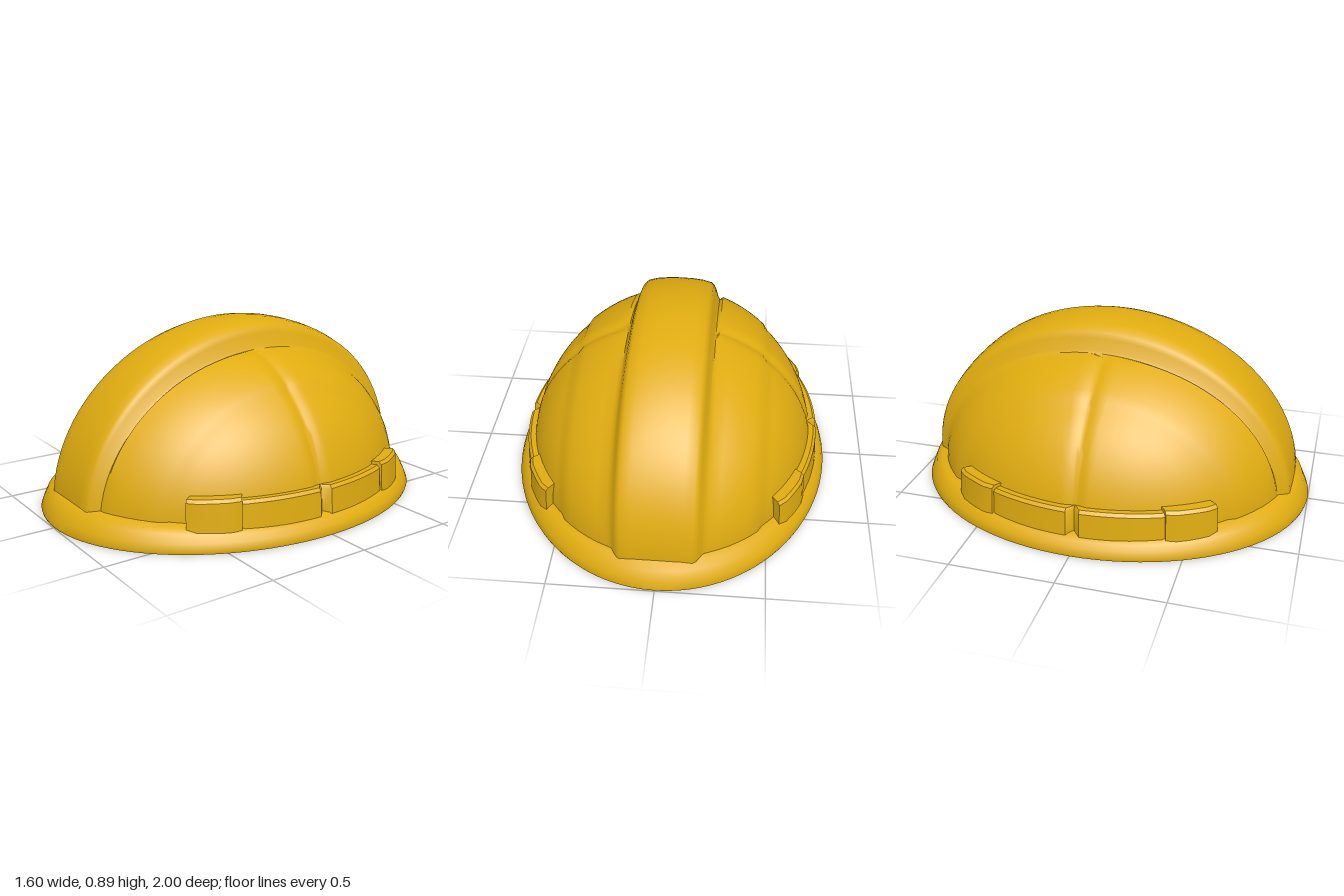
import * as THREE from 'three';
import { toCreasedNormals } from 'three/addons/utils/BufferGeometryUtils.js';

// Skins rows of points (all the same length) into a surface.
function loft(rows, closeColumns, crease) {
  const n = rows[0].length;
  const index = [];
  for (let i = 0; i < rows.length - 1; i++) {
    for (let j = 0; j < (closeColumns ? n : n - 1); j++) {
      const k = (j + 1) % n;
      const a = i * n + j, b = (i + 1) * n + j, c = (i + 1) * n + k, d = i * n + k;
      index.push(a, b, c, a, c, d);
    }
  }
  const geometry = new THREE.BufferGeometry();
  geometry.setAttribute('position', new THREE.Float32BufferAttribute(rows.flat(2), 3));
  geometry.setIndex(index);
  return toCreasedNormals(geometry, crease);
}

const BASE = 0.08;

// Shell and ridge: arcs from front to back, stacked along x.
function shellGeometry() {
  // x, height above the base, half length
  const half = [
    [0, 0.81, 0.925], [0.06, 0.808, 0.925], [0.12, 0.8, 0.923], [0.165, 0.785, 0.92],
    [0.18, 0.77, 0.912], [0.19, 0.745, 0.9], [0.205, 0.69, 0.875], [0.213, 0.677, 0.866],
  ];
  const dome = (x, f) => {
    const s = Math.sqrt(Math.max(0, 1 - (x / 0.72) ** 2));
    half.push([x, 0.7 * s * f, 0.89 * s * f]);
  };
  for (const x of [0.23, 0.28, 0.33, 0.38, 0.42, 0.455]) dome(x, 1.02);
  const u0 = Math.asin(0.475 / 0.72);
  for (let i = 0; i <= 16; i++) dome(0.72 * Math.sin(u0 + (Math.PI / 2 - u0) * i / 16), 0.995);
  const stations = [...half.slice(1).reverse().map(([x, h, l]) => [-x, h, l]), ...half];

  // Extra samples at the middle for the cross groove
  const quarter = [];
  for (let i = 0; i <= 24; i++) quarter.push(1.45 * i / 24);
  quarter.push(1.49, 1.525, 1.55);
  const angles = [...quarter, Math.PI / 2, ...quarter.map((t) => Math.PI - t).reverse()];

  const rows = stations.map(([x, h, l]) => angles.map((t) => {
    const ridge = Math.abs(x) < 0.214;
    const z = l * Math.cos(t);
    const k = ridge ? 1 : 1 - 0.02 * Math.max(0, 1 - Math.abs(z) / 0.05);
    return [x * (Math.abs(x) < 0.24 ? 1 : k), BASE + h * Math.sin(t) * k, z - (ridge ? 0.035 * Math.sin(t) : 0)];
  }));
  return loft(rows, false, 0.6);
}

// Flared oval brim, taller at the front and back
function brimGeometry() {
  const rows = [];
  for (let i = 0; i <= 96; i++) {
    const a = Math.PI * 2 * i / 96;
    const c = Math.cos(a), s = Math.sin(a);
    const top = 0.085 + 0.035 * s * s;
    const section = [
      [0.705, 0.88, top + 0.008], [0.745, 0.935, top], [0.768, 0.965, top * 0.8],
      [0.788, 0.987, 0.045], [0.8, 1, 0.012], [0.796, 0.996, 0],
      [0.775, 0.972, 0], [0.715, 0.89, top - 0.01],
    ];
    rows.push(section.map(([rx, rz, y]) => [rx * c, y, rz * s]));
  }
  return loft(rows, true, 0.7);
}

// Solid strip that follows the oval between two angles, with bevelled edges
function stripGeometry(from, to, steps, rx, rz, top, notch) {
  const angles = [];
  for (let i = 0; i <= steps; i++) angles.push(from + (to - from) * i / steps);
  if (notch) angles.push((from + to) / 2 - 0.035, (from + to) / 2 + 0.035);
  angles.sort((p, q) => p - q);
  const mid = (from + to) / 2;
  const rows = angles.map((a, i) => {
    const end = i === 0 || i === angles.length - 1;
    const d = (notch && Math.abs(a - mid) < 0.01 ? 0.035 : 0) + (end ? 0.01 : 0);
    const section = [
      [0.7, 0.855, top], [rx - 0.018 - d, rz - 0.018 - d, top],
      [rx - 0.004 - d, rz - 0.004 - d, top - 0.014],
      [rx + 0.004 - d, rz + 0.004 - d, BASE], [0.715, 0.865, BASE],
    ];
    return section.map(([x, z, y]) => [x * Math.cos(a), y, z * Math.sin(a)]);
  });
  // End caps
  const cap = (row) => {
    const m = [0, 1, 2].map((k) => row.reduce((sum, p) => sum + p[k], 0) / row.length);
    return row.map(() => m);
  };
  return loft([cap(rows[0]), ...rows, cap(rows[rows.length - 1])], true, 0.6);
}

export function createModel() {
  const yellow = new THREE.MeshStandardMaterial({ color: 0xe0ac10, side: THREE.DoubleSide });
  yellow.name = 'safetyYellow';
  const model = new THREE.Group();
  model.name = 'hardHat';
  const add = (name, geometry) => {
    const mesh = new THREE.Mesh(geometry, yellow);
    mesh.name = name;
    model.add(mesh);
  };

  add('shell', shellGeometry());
  add('brim', brimGeometry());

  // Side bands with a notch in the middle, and a clip at each end
  for (const [side, centre] of [['left', 0], ['right', Math.PI]]) {
    add(side + 'Band', stripGeometry(centre - 0.49, centre + 0.49, 24, 0.75, 0.925, 0.212, true));
    for (const s of [-1, 1]) {
      const mid = centre + s * 0.605;
      const place = s * Math.cos(centre) > 0 ? 'Front' : 'Back';
      add(side + place + 'Clip', stripGeometry(mid - 0.14, mid + 0.14, 5, 0.765, 0.94, 0.228, false));
    }
  }
  return model;
}
